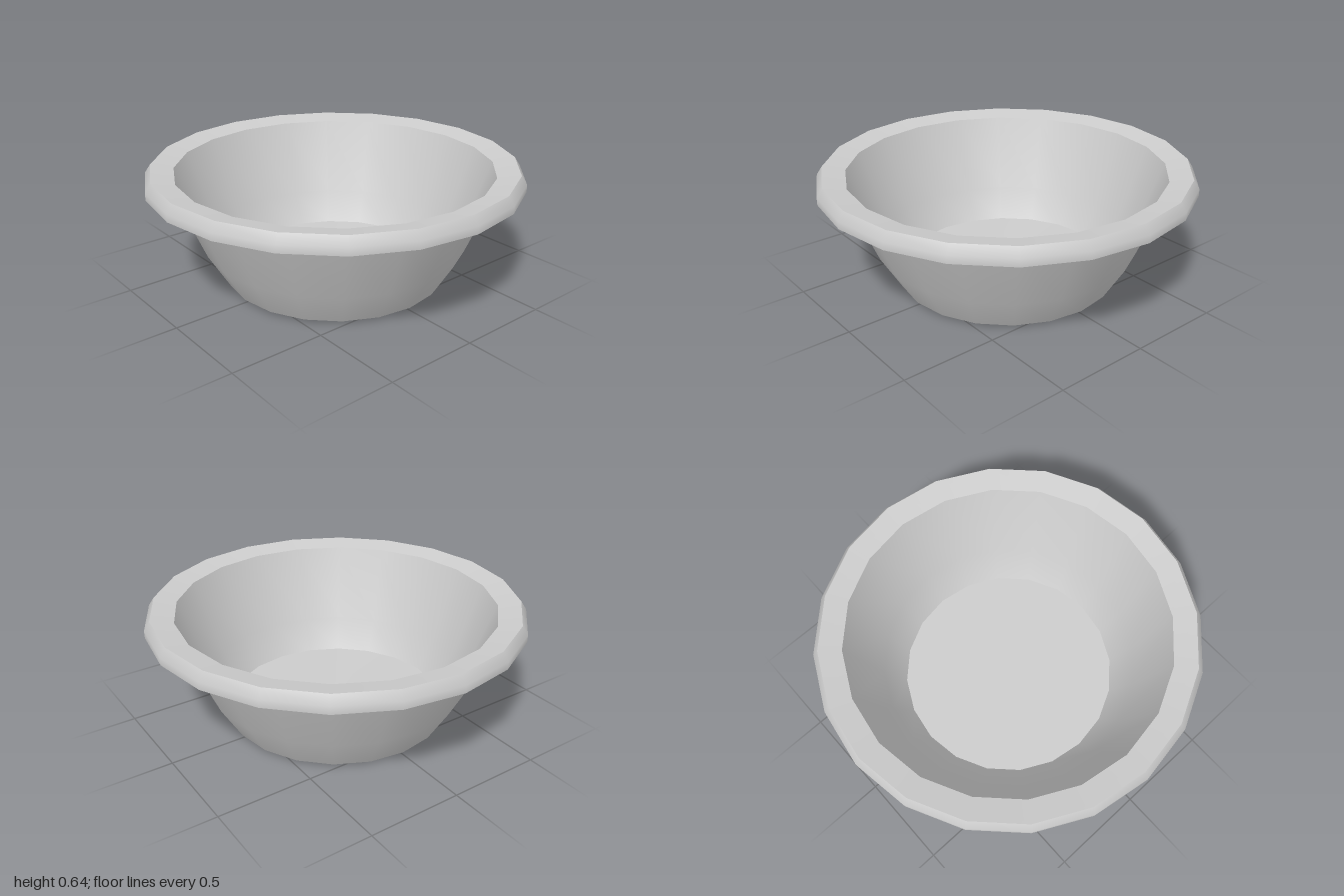
import * as THREE from 'three';

const SIDES = 20;

export function createModel() {
  const group = new THREE.Group();
  const material = new THREE.MeshStandardMaterial({ color: 0xcccccc });

  // Each band is smooth in itself; edges between bands stay sharp.
  const band = (name, profile) => {
    const points = profile.map(([r, y]) => new THREE.Vector2(r, y));
    const mesh = new THREE.Mesh(new THREE.LatheGeometry(points, SIDES), material);
    mesh.name = name;
    group.add(mesh);
  };

  // Outside of the bowl, from the base up
  band('base', [[0, 0], [0.6, 0.015]]);
  band('outerWall', [[0.6, 0.015], [0.71, 0.2], [0.86, 0.56], [0.88, 0.61]]);

  // Overhanging rim with a hollow underside
  band('rimHollow', [[0.88, 0.61], [0.945, 0.61]]);
  band('rimInnerLip', [[0.945, 0.61], [0.955, 0.56]]);
  band('rimBottom', [[0.955, 0.56], [1, 0.56]]);
  band('rimOuterEdge', [[1, 0.56], [1, 0.6], [0.97, 0.645]]);
  band('rimTop', [[0.97, 0.645], [0.85, 0.622]]);

  // Inside of the bowl, from the rim down
  band('innerWall', [[0.85, 0.622], [0.695, 0.215], [0.59, 0.045]]);
  band('floor', [[0.59, 0.045], [0, 0.04]]);

  return group;
}
